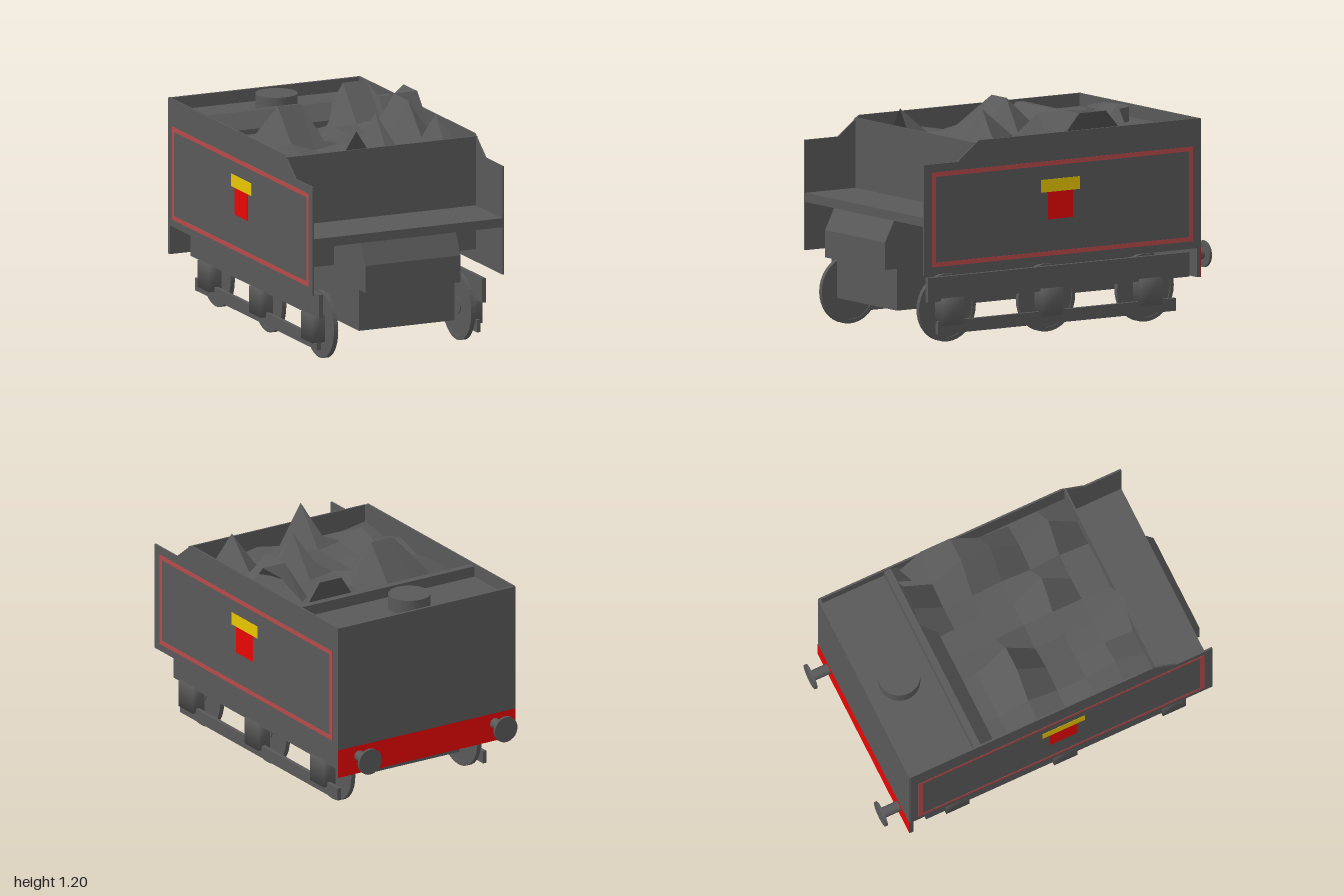
import * as THREE from 'three';

const material = (name, color) => Object.assign(new THREE.MeshStandardMaterial({ color }), { name });

export function createModel() {
  const model = new THREE.Group();
  model.name = 'coalTender';
  const grey = material('iron grey', 0x595959);
  grey.side = THREE.DoubleSide; // the coal heap is an open surface
  const red = material('signal red', 0xee0505);
  const lining = material('lining red', 0xb84a4a);
  const yellow = material('badge yellow', 0xeac800);

  const add = (name, geometry, mat = grey) => {
    const mesh = new THREE.Mesh(geometry, mat);
    mesh.name = name;
    model.add(mesh);
    return mesh;
  };
  // Box given by its limits on each axis
  const box = (name, x0, x1, y0, y1, z0, z1, mat) => {
    const g = new THREE.BoxGeometry(Math.abs(x1 - x0), y1 - y0, z1 - z0);
    g.translate((x0 + x1) / 2, (y0 + y1) / 2, (z0 + z1) / 2);
    return add(name, g, mat);
  };
  // Outline in (z, y), extruded from x0 to x1
  const profile = (name, points, x0, x1) => {
    const shape = new THREE.Shape(points.map(([z, y]) => new THREE.Vector2(-z, y)));
    const g = new THREE.ExtrudeGeometry(shape, { depth: x1 - x0, bevelEnabled: false });
    g.rotateY(Math.PI / 2).translate(x0, 0, 0);
    return add(name, g);
  };

  // Tank, bulkheads and decks
  box('tank', -0.568, 0.568, 0.47, 0.96, -0.87, 0.6);
  box('rearTankTop', -0.568, 0.568, 0.96, 1.04, -0.87, -0.47);
  profile('coalPartition', [[-0.49, 0.96], [-0.365, 0.96], [-0.365, 1.02], [-0.45, 1.1], [-0.49, 1.1]], -0.568, 0.568);
  box('frontBulkhead', -0.574, 0.574, 0.47, 1.1, 0.598, 0.607);
  box('rearWall', -0.574, 0.574, 0.4, 1.11, -0.885, -0.87);
  box('frontShelf', -0.574, 0.574, 0.665, 0.715, 0.6, 0.94);
  const cap = add('fillerCap', new THREE.CylinderGeometry(0.115, 0.115, 0.085, 32));
  cap.position.set(-0.02, 1.08, -0.68);

  // Front locker and underbody
  profile('frontLocker', [[0.5, 0.4], [1, 0.4], [1, 0.55], [0.94, 0.665], [0.5, 0.665]], -0.287, 0.287);
  box('underbody', -0.287, 0.287, 0.17, 0.48, -0.77, 0.92);

  // Rear beam with painted back
  box('rearBeam', -0.575, 0.575, 0.24, 0.4, -0.883, -0.86);
  box('rearBeamPaint', -0.575, 0.575, 0.24, 0.4, -0.885, -0.883, red);

  // Coal heap: heights on a 9 by 7 grid, rows from back to front
  const heights = ['110110991', '011101129', '139901099', '012010191', '210019020', '031010191', '100901001'];
  const grid = new THREE.PlaneGeometry(1.12, 1.05, 8, 6).rotateX(-Math.PI / 2);
  const p = grid.attributes.position;
  for (let i = 0; i < p.count; i++) {
    p.setY(i, 0.98 + 0.0245 * Number(heights[Math.floor(i / 9)][i % 9]));
  }
  grid.translate(-0.01, 0, 0.075);
  const coal = grid.toNonIndexed();
  coal.computeVertexNormals();
  // One shared normal for both triangles of a grid cell
  const coalNormals = coal.attributes.normal;
  const first = new THREE.Vector3();
  const second = new THREE.Vector3();
  for (let i = 0; i < coalNormals.count; i += 6) {
    first.fromBufferAttribute(coalNormals, i);
    second.fromBufferAttribute(coalNormals, i + 3);
    first.add(second).normalize();
    for (let k = 0; k < 6; k++) coalNormals.setXYZ(i + k, first.x, first.y, first.z);
  }
  add('coalHeap', coal);

  // Wheel with raised rim and hub on both faces
  const half = [[0.187, 0.013], [0.165, 0.013], [0.165, 0.007], [0.045, 0.007], [0.045, 0.013], [0, 0.013]];
  const wheelProfile = [...half.map(([r, y]) => [r, -y]).reverse(), ...half];
  const wheelGeometry = new THREE.LatheGeometry(
    wheelProfile.map(([r, y]) => new THREE.Vector2(r, y)), 36).toNonIndexed();
  wheelGeometry.computeVertexNormals();

  // Axle box with normals pointing out from its centre for soft shading
  const axleBox = new THREE.BoxGeometry(0.076, 0.15, 0.14);
  const corner = new THREE.Vector3();
  for (let i = 0; i < axleBox.attributes.position.count; i++) {
    corner.fromBufferAttribute(axleBox.attributes.position, i);
    corner.set(Math.sign(corner.x), Math.sign(corner.y), Math.sign(corner.z)).normalize();
    axleBox.attributes.normal.setXYZ(i, corner.x, corner.y, corner.z);
  }

  // The running gear sits slightly differently on each side
  const gear = [
    { side: 'left', s: 1, frameX: 0.492, boxX: 0.486, wheelX: 0.422, wheelShift: 0, boxShift: 0.02,
      frame: [-0.86, 0.865], rail: [-0.77, 0.8] },
    { side: 'right', s: -1, frameX: 0.47, boxX: 0.478, wheelX: 0.43, wheelShift: 0.055, boxShift: 0.05,
      frame: [-0.8, 0.825], rail: [-0.74, 0.8] },
  ];
  for (const { side, s, frameX, boxX, wheelX, wheelShift, boxShift, frame, rail } of gear) {
    // Side panel with its cut-down front
    profile(side + 'SidePanel',
      [[-0.88, 0.4], [0.94, 0.4], [0.94, 1.005], [0.72, 1.005], [0.58, 1.112], [-0.88, 1.112]],
      s > 0 ? 0.566 : -0.576, s > 0 ? 0.576 : -0.566);

    // Painted lining and badge
    const plate = (name, y0, y1, z0, z1, mat) =>
      box(side + name, s * 0.575, s * 0.5775, y0, y1, z0, z1, mat);
    plate('LiningTop', 0.935, 0.96, -0.83, 0.89, lining);
    plate('LiningBottom', 0.44, 0.465, -0.83, 0.89, lining);
    plate('LiningRear', 0.465, 0.935, -0.83, -0.805, lining);
    plate('LiningFront', 0.465, 0.935, 0.865, 0.89, lining);
    plate('BadgeBar', 0.79, 0.86, -0.085, 0.17, yellow);
    plate('BadgeDrop', 0.64, 0.79, -0.04, 0.125, red);

    // Frame, lower rail, wheels and axle boxes
    const x0 = s * (frameX - 0.011);
    const x1 = s * (frameX + 0.011);
    box(side + 'Frame', x0, x1, 0.235, 0.37, ...frame);
    box(side + 'LowerRail', x0, x1, 0.055, 0.125, ...rail);
    for (const z of [0.69, 0.035, -0.615]) {
      const wheel = add(side + 'Wheel', wheelGeometry);
      wheel.rotation.z = -s * Math.PI / 2;
      wheel.position.set(s * wheelX, 0.187, z + wheelShift);
      const journal = add(side + 'AxleBox', axleBox);
      journal.position.set(s * boxX, 0.175, z + boxShift);
    }

    // Round bumper on the rear beam
    const shank = add(side + 'BumperShank', new THREE.CylinderGeometry(0.03, 0.03, 0.11, 20));
    shank.rotation.x = Math.PI / 2;
    shank.position.set(s * 0.44, 0.342, -0.935);
    const head = add(side + 'BumperHead', new THREE.CylinderGeometry(0.073, 0.073, 0.015, 28));
    head.rotation.x = Math.PI / 2;
    head.position.set(s * 0.44, 0.342, -0.9925);
  }

  // Axle stubs on either side of the underbody
  for (const z of [0.06, -0.59]) {
    const axle = add('axle', new THREE.CylinderGeometry(0.022, 0.022, 0.72, 16));
    axle.rotation.z = Math.PI / 2;
    axle.position.set(0, 0.227, z);
  }
  return model;
}
